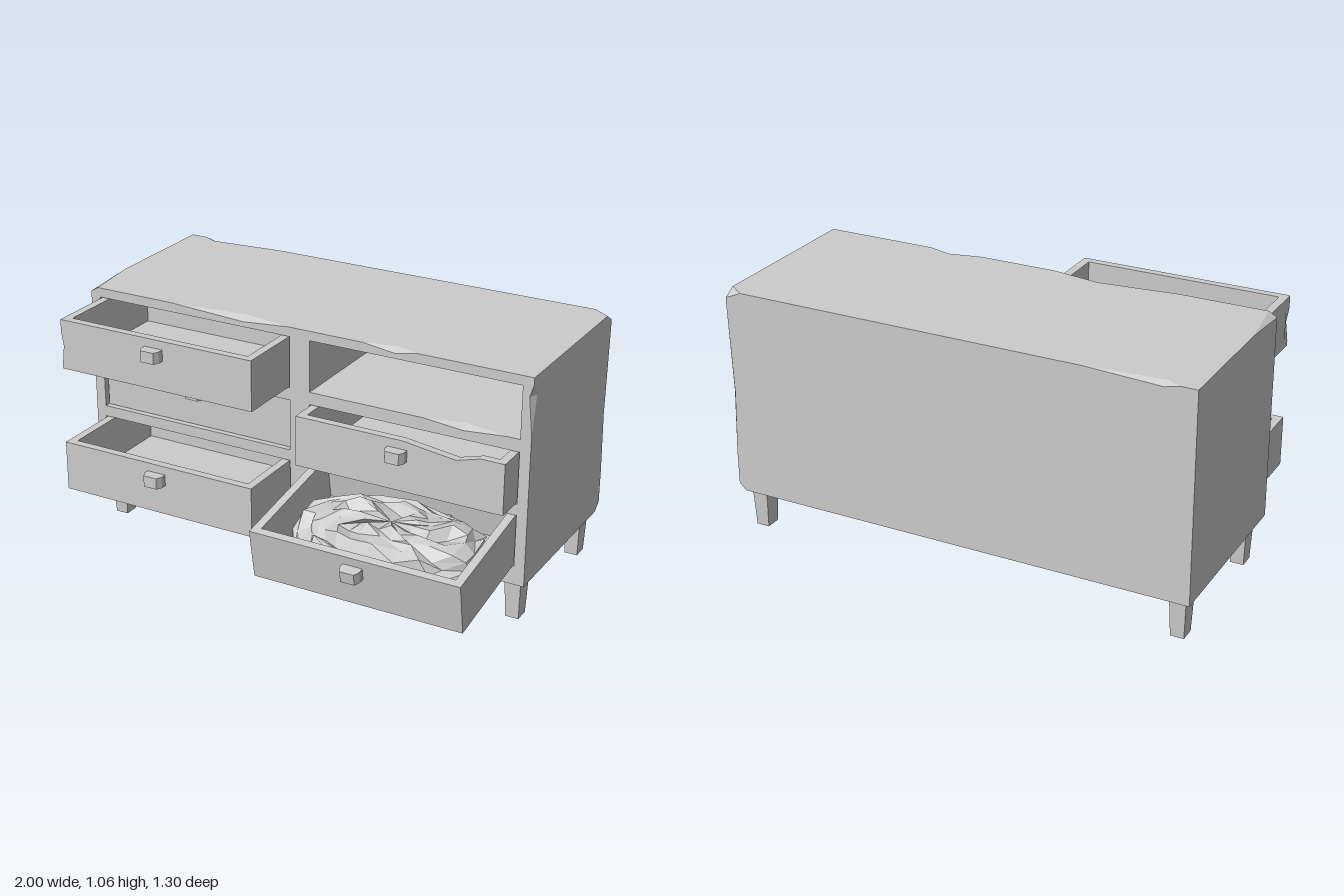
import * as THREE from 'three';

const material = new THREE.MeshStandardMaterial({ color: 0xcccccc, flatShading: true });
const LIMITS = [[-1, 1], [0.18, 1.06], [-0.65, 0.13]]; // carcass extents on x, y, z
const FRONT = LIMITS[2][1], CAVITY_BACK = -0.6;
const ROWS = [0.26, 0.527, 0.8]; // lower edge of each drawer opening
const OPEN_H = 0.22, WALL = 0.035;

function mesh(geometry, name, parent) {
  const m = new THREE.Mesh(geometry, material);
  m.name = name;
  parent.add(m);
  return m;
}

// Adds one triangle, wound so that it faces along the given normal
function addTriangle(out, a, b, c, normal) {
  const [A, B, C] = [a, b, c].map(p => new THREE.Vector3(...p));
  const n = B.clone().sub(A).cross(C.clone().sub(A));
  out.push(...a, ...(n.dot(normal) < 0 ? [...c, ...b] : [...b, ...c]));
}

// Fills a flat loop (with holes) lying across one axis
function addFace(out, axis, sign, loop, holes = []) {
  const flat = l => l.map(p => new THREE.Vector2(p[(axis + 1) % 3], p[(axis + 2) % 3]));
  const all = [loop, ...holes].flat();
  const normal = new THREE.Vector3().setComponent(axis, sign);
  for (const t of THREE.ShapeUtils.triangulateShape(flat(loop), holes.map(flat)))
    addTriangle(out, ...t.map(i => all[i]), normal);
}

function soup(positions) {
  const g = new THREE.BufferGeometry();
  g.setAttribute('position', new THREE.Float32BufferAttribute(positions, 3));
  g.computeVertexNormals();
  return g;
}

// Broken corners: how far each cut runs along x, y, z
const CORNERS = [
  { side: [-1, 1, 1], cut: [0.035, 0.02, 0.25] },
  { side: [1, 1, -1], cut: [0.07, 0.03, 0.05] },
  { side: [1, -1, -1], cut: [0.03, 0.03, 0.04] },
];
// Chipped edges: span along an axis, deepest point, depth into each neighbouring face
const CHIPS = [
  { axis: 0, side: [0, 1, 1], span: [-0.6, -0.26, -0.05], depth: [0, 0.018, 0.036] },
  { axis: 0, side: [0, 1, 1], span: [0.28, 0.42, 0.52], depth: [0, 0.018, 0.03] },
  { axis: 0, side: [0, 1, -1], span: [-0.93, -0.87, -0.55], depth: [0, 0.015, 0.03] },
  { axis: 1, side: [1, 0, 1], span: [0.82, 0.98, 1.03], depth: [0.016, 0, 0.033] },
  { axis: 1, side: [1, 0, -1], span: [0.35, 0.62, 1.0], depth: [0.012, 0, 0.014] },
];

const cornerAt = side => side.map((s, i) => LIMITS[i][s > 0 ? 1 : 0]);
function shifted(p, axis, amount) {
  const q = [...p];
  q[axis] += amount;
  return q;
}

// Outline of one carcass side, following its chips and broken corners
function sideLoop(n, sign) {
  const u = (n + 1) % 3, v = (n + 2) % 3, loop = [];
  [[-1, -1], [1, -1], [1, 1], [-1, 1]].forEach(([su, sv], i) => {
    const side = [];
    side[n] = sign; side[u] = su; side[v] = sv;
    const p = cornerAt(side), along = i % 2 ? v : u, across = i % 2 ? u : v;
    const broken = CORNERS.find(c => c.side.every((s, k) => s === side[k]));
    if (broken) for (const k of [across, along]) loop.push(shifted(p, k, -side[k] * broken.cut[k]));
    else loop.push(p);
    const edge = CHIPS.filter(c => c.axis === along && c.side[n] === sign && c.side[across] === side[across])
      .flatMap(c => c.span.map((t, j) => {
        const q = j === 1 ? shifted(p, across, -side[across] * c.depth[across]) : [...p];
        q[along] = t;
        return q;
      }));
    loop.push(...(side[along] < 0 ? edge : edge.reverse()));
  });
  return loop;
}

function buildCarcass(parent) {
  const out = [], inner = [], holes = [];
  for (const s of [-1, 1]) for (const y0 of ROWS) {
    const x0 = s < 0 ? -0.955 : 0.045, x1 = x0 + 0.91, y1 = y0 + OPEN_H;
    const rect = z => [[x0, y0, z], [x1, y0, z], [x1, y1, z], [x0, y1, z]];
    const f = rect(FRONT), b = rect(CAVITY_BACK);
    const floor = [f[0], f[1], b[1], b[0]], hole = [...f];
    // Worn lip under the empty opening
    if (s > 0 && y0 === ROWS[2]) {
      const l = [0.55, y0, FRONT], r = [0.9, y0, FRONT];
      const low = [0.72, y0 - 0.016, FRONT], deep = [0.72, y0, FRONT - 0.04];
      hole.splice(1, 0, l, low, r);
      floor.splice(1, 0, l, deep, r);
      for (const e of [l, r]) addTriangle(inner, e, low, deep, new THREE.Vector3(0, 1, 1));
    }
    holes.push(hole);
    addFace(inner, 1, 1, floor);
    addFace(inner, 1, -1, [f[3], f[2], b[2], b[3]]);
    addFace(inner, 0, 1, [f[0], f[3], b[3], b[0]]);
    addFace(inner, 0, -1, [f[1], f[2], b[2], b[1]]);
    addFace(inner, 2, 1, b);
  }
  for (let n = 0; n < 3; n++) for (const s of [-1, 1])
    addFace(out, n, s, sideLoop(n, s), n === 2 && s > 0 ? holes : []);
  // Facets inside the breaks
  for (const { side, cut } of CORNERS) {
    const p = cornerAt(side);
    addTriangle(out, ...[0, 1, 2].map(k => shifted(p, k, -side[k] * cut[k])), new THREE.Vector3(...side));
  }
  for (const { axis, side, span, depth } of CHIPS) {
    const at = t => { const p = cornerAt(side); p[axis] = t; return p; };
    const [c, d] = [0, 1, 2].filter(k => k !== axis).map(k => shifted(at(span[1]), k, -side[k] * depth[k]));
    for (const t of [span[0], span[2]]) addTriangle(out, at(t), c, d, new THREE.Vector3(...side));
  }
  mesh(soup(out), 'carcass', parent);
  mesh(soup(inner), 'drawerOpenings', parent);
}

function extrude(points, depth) {
  const shape = new THREE.Shape(points.map(p => new THREE.Vector2(...p)));
  return new THREE.ExtrudeGeometry(shape, { depth, bevelEnabled: false });
}

// Open-topped drawer; its origin is the lower middle of the front panel
function buildDrawer(name, x, y, z, topWear = [], sideWear = []) {
  const g = new THREE.Group(), w = 0.9, h = 0.214, len = 0.6;
  g.name = name;
  g.position.set(x, y, z);
  const panel = [[-w / 2, 0], [w / 2, 0], [w / 2, h], ...topWear, [-w / 2, h], ...sideWear];
  mesh(extrude(panel, WALL), 'drawerFront', g).position.z = -WALL;
  const board = (n, sx, sy, sz, px, py, pz) =>
    mesh(new THREE.BoxGeometry(sx, sy, sz), n, g).position.set(px, py, pz);
  for (const s of [-1, 1])
    board('drawerSide', WALL, h, len - WALL, s * (w - WALL) / 2, h / 2, -(len + WALL) / 2);
  board('drawerBack', w - 2 * WALL, h, WALL, 0, h / 2, -len + WALL / 2);
  board('drawerFloor', w - 2 * WALL, 0.025, len - 2 * WALL, 0, 0.0125, -len / 2);
  // Knob with narrowed tip
  const knob = extrude([[-0.042, 0], [-0.042, -0.025], [-0.03, -0.048], [0.03, -0.048], [0.042, -0.025], [0.042, 0]], 0.048);
  mesh(knob.rotateX(-Math.PI / 2), 'knob', g).position.y = 0.13;
  return g;
}

// Crumpled heap of cloth: a squared-off dome with seeded dents
function clothGeometry() {
  const g = new THREE.SphereGeometry(1, 20, 8, 0, Math.PI * 2, 0, Math.PI / 2);
  const pos = g.attributes.position, p = new THREE.Vector3();
  const noise = seed => {
    const n = Math.sin(Math.round(p.x * 50) * 12.99 + Math.round(p.z * 50) * 78.23 + seed * 37.7) * 4375.85;
    return n - Math.floor(n) - 0.5;
  };
  const square = t => Math.sign(t) * Math.abs(t) ** 0.8;
  for (let i = 0; i < pos.count; i++) {
    p.fromBufferAttribute(pos, i);
    const x = square(p.x) * 0.41 + noise(1) * 0.045;
    const z = square(p.z) * 0.24 + noise(2) * 0.04;
    const y = 0.025 + (p.y < 0.01 ? 0 : p.y ** 0.7 * 0.165 + noise(3) * 0.05);
    pos.setXYZ(i, THREE.MathUtils.clamp(x, -0.41, 0.41), y, THREE.MathUtils.clamp(z, -0.25, 0.25));
  }
  const flat = g.toNonIndexed();
  flat.computeVertexNormals();
  return flat;
}

export function createModel() {
  const model = new THREE.Group();
  model.name = 'brokenDresser';
  buildCarcass(model);

  // Drawers pulled out by different amounts
  const lift = 0.003;
  model.add(
    buildDrawer('leftTopDrawer', -0.5, ROWS[2] + lift, 0.415, [], [[-0.45, 0.16], [-0.44, 0.1], [-0.45, 0.02]]),
    buildDrawer('leftMiddleDrawer', -0.5, ROWS[1] + lift, 0.11),
    buildDrawer('leftBottomDrawer', -0.5, ROWS[0] + lift, 0.428),
    buildDrawer('rightMiddleDrawer', 0.5, ROWS[1] + lift, 0.25,
      [[0.35, 0.214], [0.25, 0.185], [0.13, 0.2], [0.02, 0.214]]),
  );

  // Sagging drawer with cloth
  const sagging = buildDrawer('rightBottomDrawer', 0.5, 0.187, 0.575);
  sagging.rotation.x = 0.165;
  mesh(clothGeometry(), 'cloth', sagging).position.z = -0.3;
  model.add(sagging);

  // Tapered square legs
  for (const x of [-0.935, 0.935]) for (const z of [0.045, -0.565]) {
    const leg = new THREE.CylinderGeometry(Math.SQRT1_2, 0.57, 0.18, 4).rotateY(Math.PI / 4);
    mesh(leg.scale(0.07, 1, 0.082), 'leg', model).position.set(x, 0.09, z);
  }
  return model;
}
